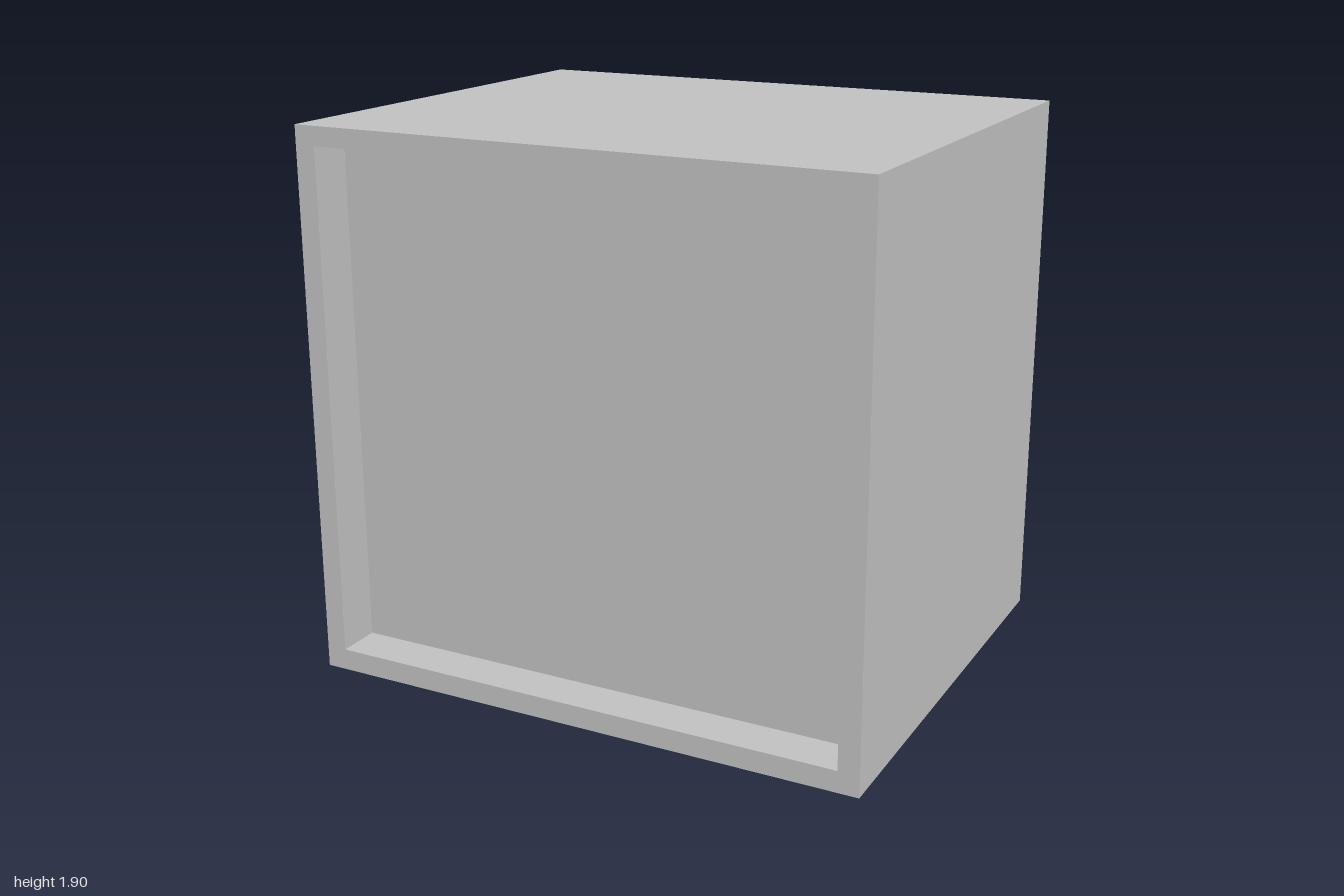
import * as THREE from 'three';

const grey = new THREE.MeshStandardMaterial({ color: 0xc0c0c0 });
grey.name = 'plain grey';

// Box given by its minimum and maximum corners
function box(name, [x0, y0, z0], [x1, y1, z1]) {
  const mesh = new THREE.Mesh(new THREE.BoxGeometry(x1 - x0, y1 - y0, z1 - z0), grey);
  mesh.name = name;
  mesh.position.set((x0 + x1) / 2, (y0 + y1) / 2, (z0 + z1) / 2);
  return mesh;
}

export function createModel() {
  const model = new THREE.Group();
  model.name = 'cabinet';

  const W = 1, H = 1.905, back = -0.82, front = 0.827;
  const inX = 0.927, inBottom = 0.075, inTop = 1.84;

  // Outer casing: a rectangular tube running from back to front
  const outline = new THREE.Shape([
    new THREE.Vector2(-W, 0), new THREE.Vector2(W, 0),
    new THREE.Vector2(W, H), new THREE.Vector2(-W, H),
  ]);
  outline.holes.push(new THREE.Path([
    new THREE.Vector2(-inX, inBottom), new THREE.Vector2(-inX, inTop),
    new THREE.Vector2(inX, inTop), new THREE.Vector2(inX, inBottom),
  ]));
  const casing = new THREE.Mesh(
    new THREE.ExtrudeGeometry(outline, { depth: front - back, bevelEnabled: false }), grey);
  casing.name = 'casing';
  casing.position.z = back;
  model.add(casing);

  // Recessed flat panel on the front
  model.add(box('frontPanel', [-inX, inBottom, front - 0.215], [inX, inTop, front - 0.155]));

  // Two sliding doors on the back, one behind the other, each with a raised panel
  const doors = [
    { name: 'outerDoor', x: [0.046, inX], depth: 0.065, panel: [0.12, 0.84], raise: 0.072 },
    { name: 'innerDoor', x: [-0.913, 0.06], depth: 0.125, panel: [-0.83, -0.1], raise: 0.042 },
  ];
  for (const d of doors) {
    const face = back + d.depth;
    const door = new THREE.Group();
    door.name = d.name;
    door.add(box('doorSlab', [d.x[0], inBottom, face], [d.x[1], inTop, face + 0.06]));
    door.add(box('raisedPanel', [d.panel[0], 0.207, face - d.raise], [d.panel[1], 1.688, face + 0.01]));
    model.add(door);
  }
  return model;
}
